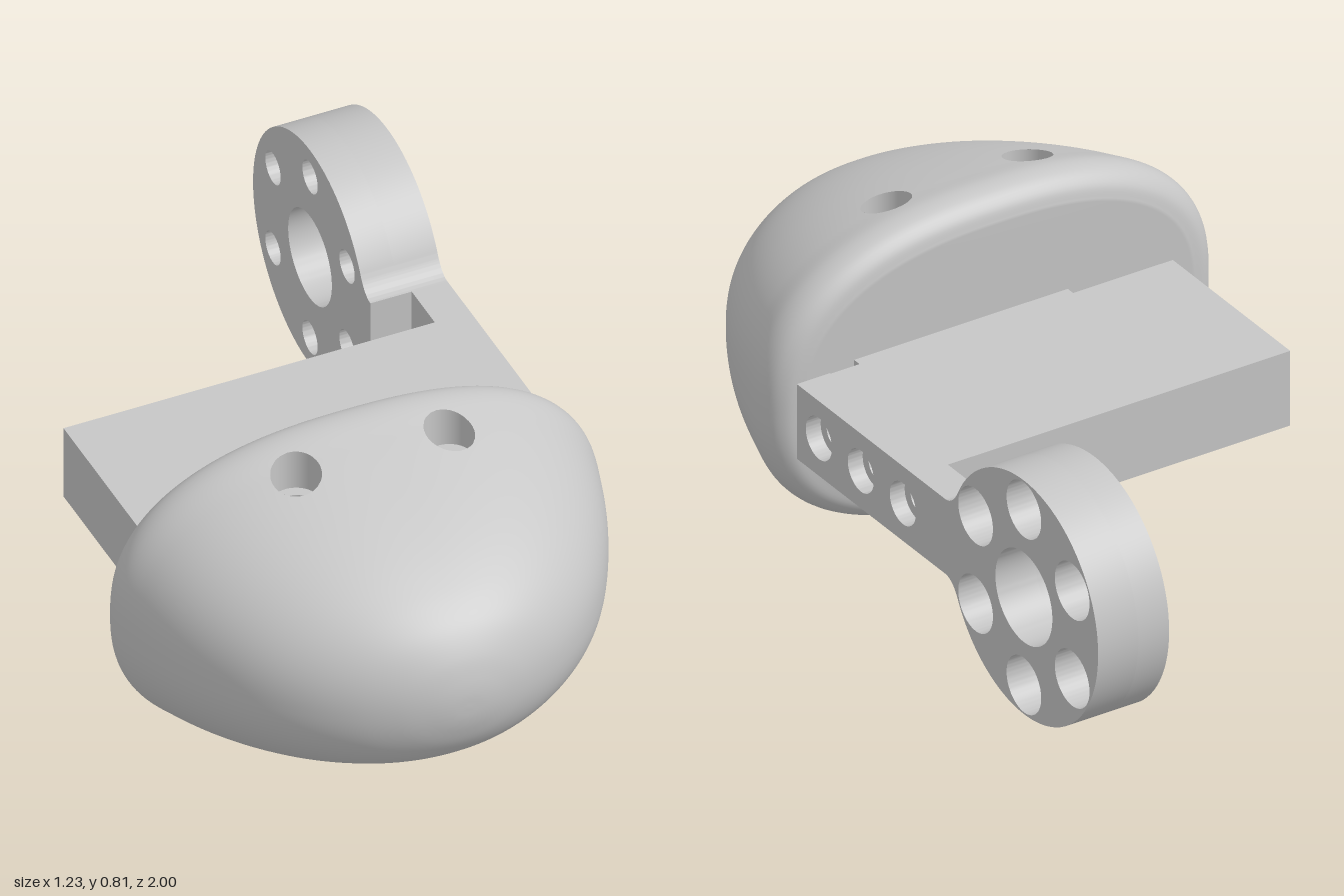
import * as THREE from 'three';
import { toCreasedNormals } from 'three/addons/utils/BufferGeometryUtils.js';

const CY = 0.407;      // height of the shared centre line
const SCREW = { x: 0.195, z: 0.467, outer: 0.06, inner: 0.033, floor: 0.69, bottom: 0.45 };

const grey = new THREE.MeshStandardMaterial({ color: 0xc6c6c6 });
grey.name = 'grey';
grey.side = THREE.DoubleSide;

function add(group, name, geometry) {
  const mesh = new THREE.Mesh(geometry, grey);
  mesh.name = name;
  group.add(mesh);
  return mesh;
}

function box(group, name, x0, x1, y0, y1, z0, z1) {
  add(group, name, new THREE.BoxGeometry(x1 - x0, y1 - y0, z1 - z0))
    .position.set((x0 + x1) / 2, (y0 + y1) / 2, (z0 + z1) / 2);
}

// Plate drawn in the side plane (u = -z, v = y) and extruded from x0 to x1
function plate(group, name, shape, x0, x1) {
  const geo = new THREE.ExtrudeGeometry(shape, { depth: x1 - x0, bevelEnabled: false, curveSegments: 40 });
  geo.rotateY(Math.PI / 2);
  geo.translate(x0, CY, 0);
  add(group, name, toCreasedNormals(geo, 0.5));
}

function drill(shape, u, v, r) {
  shape.holes.push(new THREE.Path().absarc(u, v, r, 0, Math.PI * 2, true));
}

// Bumper profile: half width, half height, z
const profile = new THREE.CatmullRomCurve3([
  [0.535, 0.335, 0.29], [0.578, 0.372, 0.302], [0.605, 0.398, 0.33], [0.613, 0.405, 0.37],
  [0.594, 0.386, 0.45], [0.556, 0.354, 0.56], [0.508, 0.321, 0.66], [0.452, 0.286, 0.75],
  [0.394, 0.253, 0.82], [0.328, 0.218, 0.88], [0.253, 0.177, 0.93], [0.164, 0.122, 0.97],
  [0.093, 0.072, 0.99], [0.045, 0.035, 0.998], [0, 0, 1],
].map((p) => new THREE.Vector3(...p)), false, 'centripetal').getSpacedPoints(110);

// Cross-sections are squarer at the back and oval at the nose
const power = (z) => 2.45 - 0.4 * ((z - 0.29) / 0.71) ** 2;

// Height of the bumper's upper skin above a point
function skinY(x, z) {
  let i = 1;
  while (i < profile.length - 1 && profile[i].z < z) i++;
  const a = profile[i - 1], b = profile[i], n = power(z);
  const p = a.clone().lerp(b, (z - a.z) / (b.z - a.z));
  const t = Math.min(1, Math.abs(x) / p.x);
  return CY + p.y * Math.pow(1 - Math.pow(t, n), 1 / n);
}

// Lofted superellipse sections, with the two screw openings cut through the top
function bumperGeometry() {
  const rows = [new THREE.Vector3(0, 0, 0.29), ...profile];
  const seg = 240, pos = [], inside = [], index = [];
  for (const p of rows) {
    const n = power(p.z);
    for (let j = 0; j < seg; j++) {
      const a = (j / seg) * Math.PI * 2, c = Math.cos(a), s = Math.sin(a);
      const r = Math.pow(Math.pow(Math.abs(c), n) + Math.pow(Math.abs(s), n), -1 / n);
      let x = p.x * c * r, y = CY + p.y * s * r, z = p.z;
      const cx = Math.sign(x) * SCREW.x;
      const d = Math.hypot(x - cx, z - SCREW.z);
      const cut = y > CY && d < SCREW.outer;
      if (cut) {
        const k = SCREW.outer / Math.max(d, 1e-4);
        x = cx + (x - cx) * k;
        z = SCREW.z + (z - SCREW.z) * k;
        y = skinY(x, z);
      }
      inside.push(cut);
      pos.push(x, y, z);
    }
  }
  const tri = (a, b, c) => {
    if (!(inside[a] && inside[b] && inside[c])) index.push(a, b, c);
  };
  for (let i = 0; i < rows.length - 1; i++) {
    for (let j = 0; j < seg; j++) {
      const k = (j + 1) % seg;
      const a = i * seg + j, b = i * seg + k, c = a + seg, d = b + seg;
      if (i > 0) tri(a, b, d);
      if (i < rows.length - 2) tri(a, d, c);
      else tri(a, b, c);
    }
  }
  // The back cap is the fan between the centre row and the first ring
  for (let j = 0; j < seg; j++) tri(j, seg + ((j + 1) % seg), seg + j);
  const geo = new THREE.BufferGeometry();
  geo.setAttribute('position', new THREE.Float32BufferAttribute(pos, 3));
  geo.setIndex(index);
  geo.computeVertexNormals();
  // One shared normal at the tip of the nose
  for (let j = 0; j < seg; j++) geo.attributes.normal.setXYZ((rows.length - 1) * seg + j, 0, 0, 1);
  return geo;
}

// Stepped screw hole whose rim follows the bumper skin
function screwHole(side) {
  const hole = new THREE.Group();
  const cx = side * SCREW.x;
  const wall = new THREE.CylinderGeometry(SCREW.outer, SCREW.outer, 1, 48, 1, true);
  const p = wall.attributes.position;
  for (let i = 0; i < p.count; i++) {
    const x = p.getX(i) + cx, z = p.getZ(i) + SCREW.z;
    p.setXYZ(i, x, p.getY(i) > 0 ? skinY(x, z) : SCREW.floor, z);
  }
  add(hole, 'screwRecessWall', wall);
  const ledge = new THREE.RingGeometry(SCREW.inner, SCREW.outer, 48).rotateX(-Math.PI / 2);
  add(hole, 'screwRecessLedge', ledge).position.set(cx, SCREW.floor, SCREW.z);
  const depth = SCREW.floor - SCREW.bottom;
  const bore = new THREE.CylinderGeometry(SCREW.inner, SCREW.inner, depth, 32, 1, true);
  add(hole, 'screwBore', bore).position.set(cx, SCREW.floor - depth / 2, SCREW.z);
  const end = new THREE.CircleGeometry(SCREW.inner, 32).rotateX(-Math.PI / 2);
  add(hole, 'screwBoreEnd', end).position.set(cx, SCREW.bottom, SCREW.z);
  hole.name = side > 0 ? 'leftScrewHole' : 'rightScrewHole';
  return hole;
}

// Disc with a flared neck, a centre hole and six holes around it
function discShape(holeRadius) {
  const R = 0.313, cu = 0.687, a = Math.asin(0.15 / R);
  const s = new THREE.Shape();
  s.moveTo(0.355, -0.1);
  s.quadraticCurveTo(0.388, -0.1, cu - R * Math.cos(a), -0.15);
  s.absarc(cu, 0, R, Math.PI + a, 3 * Math.PI - a, false);
  s.quadraticCurveTo(0.388, 0.1, 0.355, 0.1);
  s.closePath();
  drill(s, cu, 0, 0.12);
  for (let i = 0; i < 6; i++) {
    const t = Math.PI / 2 + (i * Math.PI) / 3;
    drill(s, cu + 0.235 * Math.cos(t), 0.235 * Math.sin(t), holeRadius);
  }
  return s;
}

function armShape(holeRadius) {
  const s = new THREE.Shape();
  s.moveTo(-0.27, -0.1);
  s.lineTo(0.358, -0.1);
  s.lineTo(0.358, 0.1);
  s.lineTo(-0.27, 0.1);
  s.closePath();
  for (const u of [-0.177, 0, 0.177]) drill(s, u, 0, holeRadius);
  return s;
}

export function createModel() {
  const model = new THREE.Group();
  model.name = 'bumperBracket';

  // Rounded bumper
  add(model, 'bumper', bumperGeometry());
  for (const side of [-1, 1]) model.add(screwHole(side));

  // Mounting block and the short tongue joining it to the bumper
  box(model, 'mountingBlock', -0.465, 0.48, CY - 0.1, CY + 0.1, -0.228, 0.267);
  box(model, 'tongue', -0.19, 0.4, CY - 0.1, CY + 0.1, 0.25, 0.291);

  // Side arm with counterbored holes
  plate(model, 'armInner', armShape(0.03), 0.48, 0.53);
  plate(model, 'armOuter', armShape(0.055), 0.53, 0.571);

  // Disc hub with counterbored holes
  plate(model, 'discInner', discShape(0.042), 0.375, 0.46);
  plate(model, 'discOuter', discShape(0.073), 0.46, 0.571);

  return model;
}
